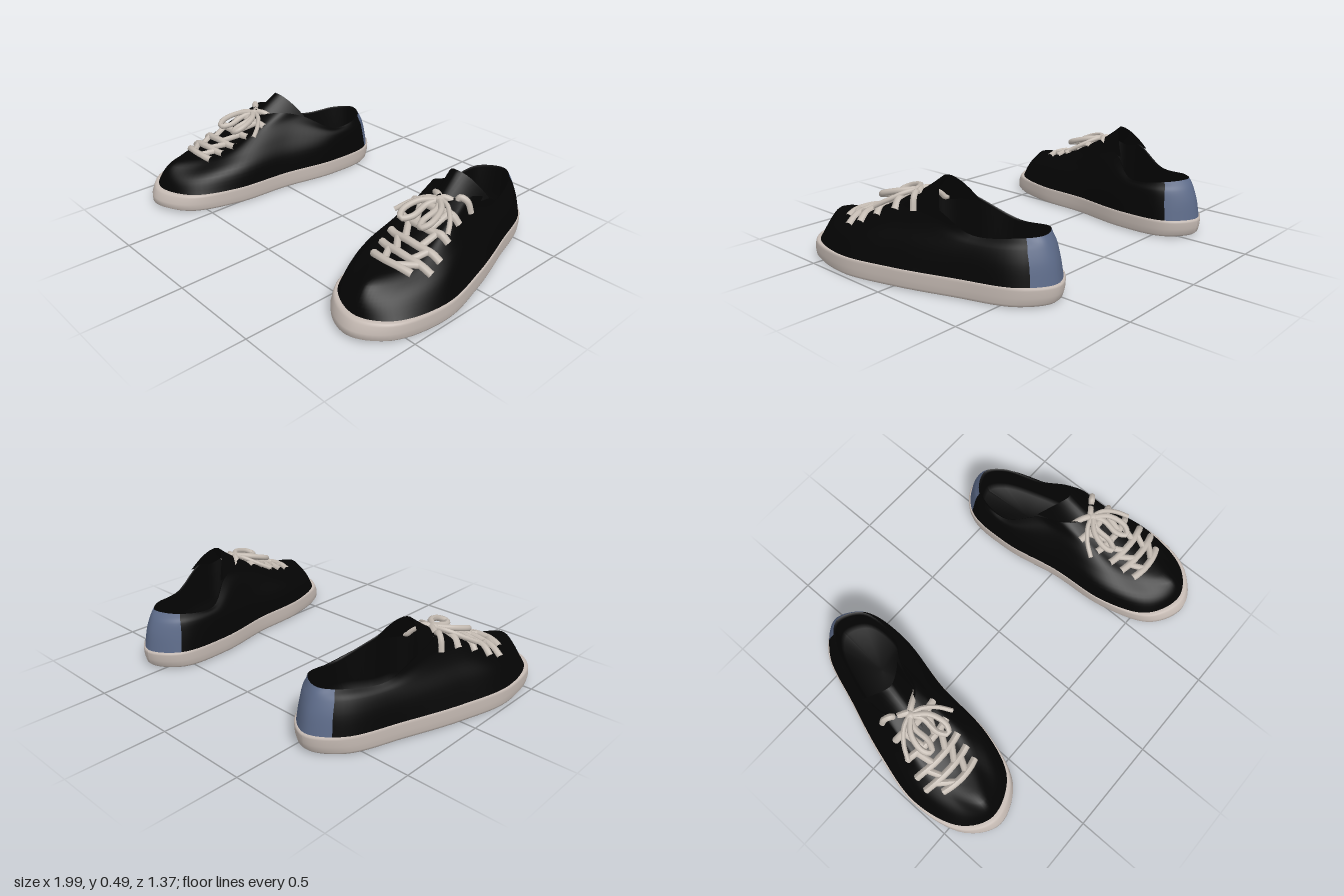
import * as THREE from 'three';

const V = (x, y, z) => new THREE.Vector3(x, y, z);
const black = new THREE.MeshStandardMaterial({ color: 0x040404, side: THREE.DoubleSide });
black.name = 'black canvas';
const rubber = new THREE.MeshStandardMaterial({ color: 0xc6bbb4 });
rubber.name = 'off-white rubber';
const cord = new THREE.MeshStandardMaterial({ color: 0xc4bbb2 });
cord.name = 'off-white cord';
const blue = new THREE.MeshStandardMaterial({ color: 0x5c6a88, side: THREE.DoubleSide });
blue.name = 'slate blue';

const COLS = 96;

// Closed ring through [x, y, z] points: heel, outer side, toe, inner side
const ring = (pts) => {
  const c = new THREE.CatmullRomCurve3(pts.map((p) => V(...p)), true);
  return Array.from({ length: COLS }, (_, i) => c.getPoint(i / COLS));
};

// Skin over rows of points, from column c0 to column c1 (wrapping round)
function loft(rows, c0 = 0, c1 = COLS) {
  const n = c1 - c0 + 1, pos = [], idx = [];
  for (const row of rows)
    for (let c = c0; c <= c1; c++) pos.push(...row[(c + row.length) % row.length].toArray());
  for (let r = 0; r < rows.length - 1; r++)
    for (let c = 0; c < n - 1; c++) {
      const a = r * n + c, b = a + n;
      idx.push(a, b, a + 1, a + 1, b, b + 1);
    }
  const g = new THREE.BufferGeometry();
  g.setAttribute('position', new THREE.Float32BufferAttribute(pos, 3));
  g.setIndex(idx);
  g.computeVertexNormals();
  return g;
}

const part = (name, geo, mat) => {
  const m = new THREE.Mesh(geo, mat);
  m.name = name;
  return m;
};

function buildShoe() {
  const shoe = new THREE.Group();

  // Rings of the upper, from the sole line to the collar and throat
  const base = ring([[.57, .085, -.678], [.715, .085, -.585], [.828, .085, -.3], [.93, .085, 0], [.991, .085, .3], [.93, .085, .55],
    [.78, .085, .642], [.585, .085, .57], [.485, .085, .34], [.457, .085, .02], [.403, .085, -.3], [.427, .085, -.575]]);
  const rings = [base,
    ring([[.57, .19, -.66], [.7, .19, -.57], [.805, .19, -.3], [.89, .2, 0], [.942, .19, .27], [.875, .17, .515],
      [.78, .17, .615], [.62, .17, .538], [.503, .19, .32], [.468, .2, 0], [.405, .2, -.3], [.435, .19, -.56]]),
    ring([[.575, .25, -.64], [.685, .25, -.553], [.775, .25, -.32], [.84, .28, -.04], [.88, .262, .2], [.85, .222, .42],
      [.77, .226, .563], [.65, .222, .44], [.545, .262, .24], [.497, .28, -.04], [.413, .25, -.32], [.445, .25, -.553]]),
    ring([[.58, .28, -.625], [.672, .275, -.547], [.758, .27, -.33], [.805, .34, -.1], [.83, .335, .12], [.805, .272, .28],
      [.74, .252, .37], [.645, .272, .28], [.575, .335, .12], [.52, .34, -.1], [.425, .27, -.33], [.455, .275, -.547]]),
    ring([[.58, .303, -.608], [.665, .297, -.54], [.745, .285, -.34], [.785, .37, -.18], [.79, .415, -.06], [.75, .412, 0],
      [.69, .4, .02], [.62, .412, 0], [.567, .415, -.06], [.533, .37, -.18], [.443, .28, -.34], [.46, .297, -.54]])];
  const cols = base.map((_, i) => new THREE.CatmullRomCurve3(rings.map((r) => r[i])));
  const outer = Array.from({ length: 21 }, (_, r) => cols.map((c) => c.getPoint(r / 20)));
  const upper = part('upper', loft(outer, 6, COLS - 8), black);
  shoe.add(upper, part('heelPatch', loft(outer, -8, 6), blue));

  // Lining and insole
  const rim = outer[20];
  const inset = (s, y) => rim.map((p) => V(.6 + (p.x - .6) * s, y ?? p.y - .008, -.3 + (p.z + .3) * s));
  shoe.add(part('lining', loft([rim, inset(.95), inset(.95, .16), inset(.9, .12), inset(0, .12)]), black));

  // Tongue: an arched strip whose sides sweep back to the collar
  const spine = new THREE.CatmullRomCurve3([V(.715, .335, .16), V(.695, .398, .04), V(.68, .457, -.05), V(.672, .494, -.1)]);
  const tongueRows = Array.from({ length: 13 }, (_, r) => {
    const k = r / 12, p = spine.getPoint(k);
    return Array.from({ length: 17 }, (_, i) => {
      const u = 1 - i / 8, w = .075 + .052 * k;
      return V(p.x + u * w, p.y - (.02 + .115 * k) * Math.abs(u) ** 2, p.z - .1 * k * Math.abs(u) ** 1.6);
    });
  });
  const tongue = part('tongue', loft(tongueRows, 0, 16), black);
  shoe.add(tongue);

  // Sole: stacked outlines with a rounded lower edge and a flared toe
  const soleRing = (s, y, flare) => base.map((p) =>
    V(.69 + (p.x - .69) * s, y + flare * .1, p.z * s + flare * Math.max(0, (p.z - .2) / .44) ** 2));
  shoe.add(part('sole', loft([soleRing(0, .004, 0), soleRing(.94, .004, .03), soleRing(.975, .006, .038), soleRing(.995, .018, .046),
    soleRing(1.008, .05, .036), soleRing(1.012, .085, .016), soleRing(1.011, .096, .008), soleRing(1, .1, .004),
    soleRing(.96, .1, 0)]), rubber));

  // Laces laid on the surface found below each point
  const ray = new THREE.Raycaster();
  const drop = (x, z, lift) => {
    ray.set(V(x, 1, z), V(0, -1, 0));
    const hit = ray.intersectObjects([upper, tongue])[0];
    return V(x, (hit ? hit.point.y : .36) + lift, z);
  };
  const tube = (name, pts, r) =>
    shoe.add(part(name, new THREE.TubeGeometry(new THREE.CatmullRomCurve3(pts), 28, r, 8), cord));
  const laid = (name, x0, z0, x1, z1, r, lift, bow = 0) =>
    tube(name, Array.from({ length: 9 }, (_, i) => {
      const k = i / 8;
      return drop(x0 + (x1 - x0) * k, z0 + (z1 - z0) * k + bow * 4 * k * (1 - k), lift);
    }), r);
  const rungs = [[.75, .405, .11], [.765, .335, .145], [.75, .265, .145], [.728, .18, .135], [.705, .08, .13]];
  rungs.forEach(([x, z, w], i) => {
    laid('laceRung', x - w, z - .01, x + w, z - .02, .019, .004, .02);
    if (i < rungs.length - 1) {
      const [x2, z2, w2] = rungs[i + 1];
      for (const s of [-1, 1]) laid('laceCross', x + s * w * .3, z, x2 + s * w2 * .6, z2, .017, .004);
    }
  });
  laid('laceTop', .70, .03, .815, -.045, .017, .004);
  laid('laceTop', .69, .03, .59, -.03, .017, .004);

  // Bow: two loops, two loose ends and a knot
  for (const s of [-1, 1]) {
    const x = .705;
    tube('bowLoop', [V(x, .405, .04), V(x + s * .03, .385, .1), V(x + s * .03, .36, .19), V(x + s * .06, .355, .235),
      V(x + s * .085, .373, .2), V(x + s * .065, .398, .11), V(x, .405, .045)], .015);
    tube('laceEnd', [V(x, .405, .04), V(x + s * .06, .4, .06), V(x + s * .12, .37, .11), V(x + s * .16, .335, .17)], .012);
  }
  const knot = new THREE.SphereGeometry(.024, 12, 8);
  knot.scale(1, .7, 1);
  knot.translate(.705, .405, .045);
  shoe.add(part('knot', knot, cord));
  return shoe;
}

// Mirrored copy with the triangle order turned round
function mirror(shoe) {
  const copy = new THREE.Group();
  for (const m of shoe.children) {
    const g = m.geometry.clone().scale(-1, 1, 1), a = g.index.array;
    for (let i = 0; i < a.length; i += 3) [a[i], a[i + 1]] = [a[i + 1], a[i]];
    g.computeVertexNormals();
    copy.add(part(m.name, g, m.material));
  }
  return copy;
}

export function createModel() {
  const model = new THREE.Group();
  model.name = 'sneakers';
  const left = buildShoe();
  left.name = 'leftShoe';
  const right = mirror(left);
  right.name = 'rightShoe';
  model.add(left, right);
  return model;
}
